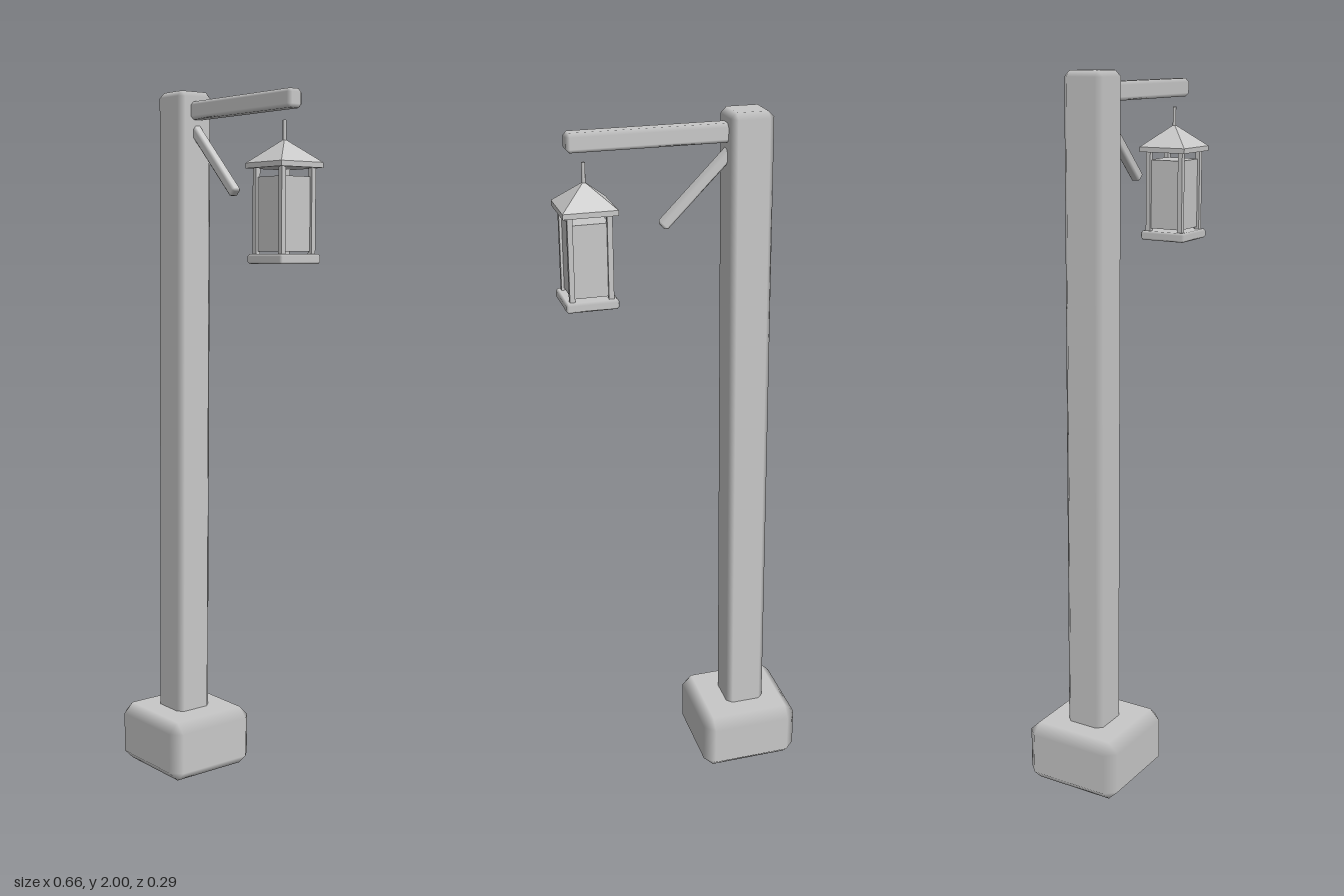
import * as THREE from 'three';

// Box with every edge and corner cut by c; flat faces, softly shaded bevels.
function chamferBox(w, h, d, c) {
  const half = [w / 2, h / 2, d / 2];
  const pos = [], nor = [], index = [];
  const sign = (bits, i) => ((bits >> i) & 1 ? 1 : -1);
  for (let a = 0; a < 3; a++) {
    for (let b = 0; b < 8; b++) {
      for (let i = 0; i < 3; i++) {
        pos.push(sign(b, i) * (half[i] - (i === a ? 0 : c)));
        nor.push(i === a ? sign(b, i) : 0);
      }
    }
  }
  const at = (k) => new THREE.Vector3().fromArray(pos, k * 3);
  const tri = (p, q, r) => {
    const A = at(p), B = at(q), C = at(r);
    const n = B.clone().sub(A).cross(C.clone().sub(A));
    index.push(...(n.dot(A.add(B).add(C)) > 0 ? [p, q, r] : [p, r, q]));
  };
  const quad = (p, q, r, s) => { tri(p, q, r); tri(p, r, s); };
  for (let a = 0; a < 3; a++) {
    const u = (a + 1) % 3, v = (a + 2) % 3, U = 1 << u, V = 1 << v, E = 1 << a;
    for (const s of [0, E]) quad(a * 8 + s, a * 8 + s + U, a * 8 + s + U + V, a * 8 + s + V);
    for (const m of [0, U, V, U + V]) quad(u * 8 + m, u * 8 + m + E, v * 8 + m + E, v * 8 + m);
  }
  for (let b = 0; b < 8; b++) tri(b, 8 + b, 16 + b);
  const g = new THREE.BufferGeometry();
  g.setAttribute('position', new THREE.Float32BufferAttribute(pos, 3));
  g.setAttribute('normal', new THREE.Float32BufferAttribute(nor, 3));
  g.setIndex(index);
  return g;
}

export function createModel() {
  const grey = new THREE.MeshStandardMaterial({ color: 0xc8c8c8 });
  grey.name = 'plain grey';
  const model = new THREE.Group();
  model.name = 'lanternPost';

  const add = (parent, name, geometry, x, y, z) => {
    const mesh = new THREE.Mesh(geometry, grey);
    mesh.name = name;
    mesh.position.set(x, y, z);
    parent.add(mesh);
    return mesh;
  };

  // Stone foot
  add(model, 'base', chamferBox(0.293, 0.178, 0.294, 0.03), -0.186, 0.091, 0);

  // Post, leaning slightly towards the arm
  const post = chamferBox(0.117, 1.9, 0.117, 0.016);
  const p = post.attributes.position;
  for (let i = 0; i < p.count; i++) p.setX(i, p.getX(i) + p.getY(i) * 0.009);
  add(model, 'post', post, -0.186, 1.05, 0);

  // Arm and diagonal brace
  add(model, 'arm', chamferBox(0.45, 0.05, 0.05, 0.01), 0.08, 1.945, -0.002);
  const brace = add(model, 'brace', chamferBox(0.28, 0.03, 0.03, 0.007), -0.046, 1.808, -0.002);
  brace.rotation.z = -Math.PI / 4;

  // Hanging lantern
  const lantern = new THREE.Group();
  lantern.name = 'lantern';
  lantern.position.set(0.258, 0, -0.002);
  model.add(lantern);

  add(lantern, 'lanternFloor', chamferBox(0.142, 0.026, 0.142, 0.006), 0, 1.531, 0);
  add(lantern, 'lanternPane', new THREE.BoxGeometry(0.104, 0.195, 0.104), 0, 1.648, 0);
  for (const x of [-1, 1]) {
    for (const z of [-1, 1]) {
      add(lantern, 'lanternCorner', new THREE.BoxGeometry(0.014, 0.24, 0.014), x * 0.052, 1.655, z * 0.052);
    }
  }
  add(lantern, 'roofEave', new THREE.BoxGeometry(0.145, 0.014, 0.145), 0, 1.775, 0);
  const roof = new THREE.CylinderGeometry(0.006, 0.0725 * Math.SQRT2, 0.058, 4, 1).toNonIndexed();
  roof.rotateY(Math.PI / 4);
  roof.computeVertexNormals();
  add(lantern, 'roof', roof, 0, 1.811, 0);
  add(lantern, 'hanger', new THREE.CylinderGeometry(0.005, 0.005, 0.06, 8), 0, 1.862, 0);

  return model;
}
